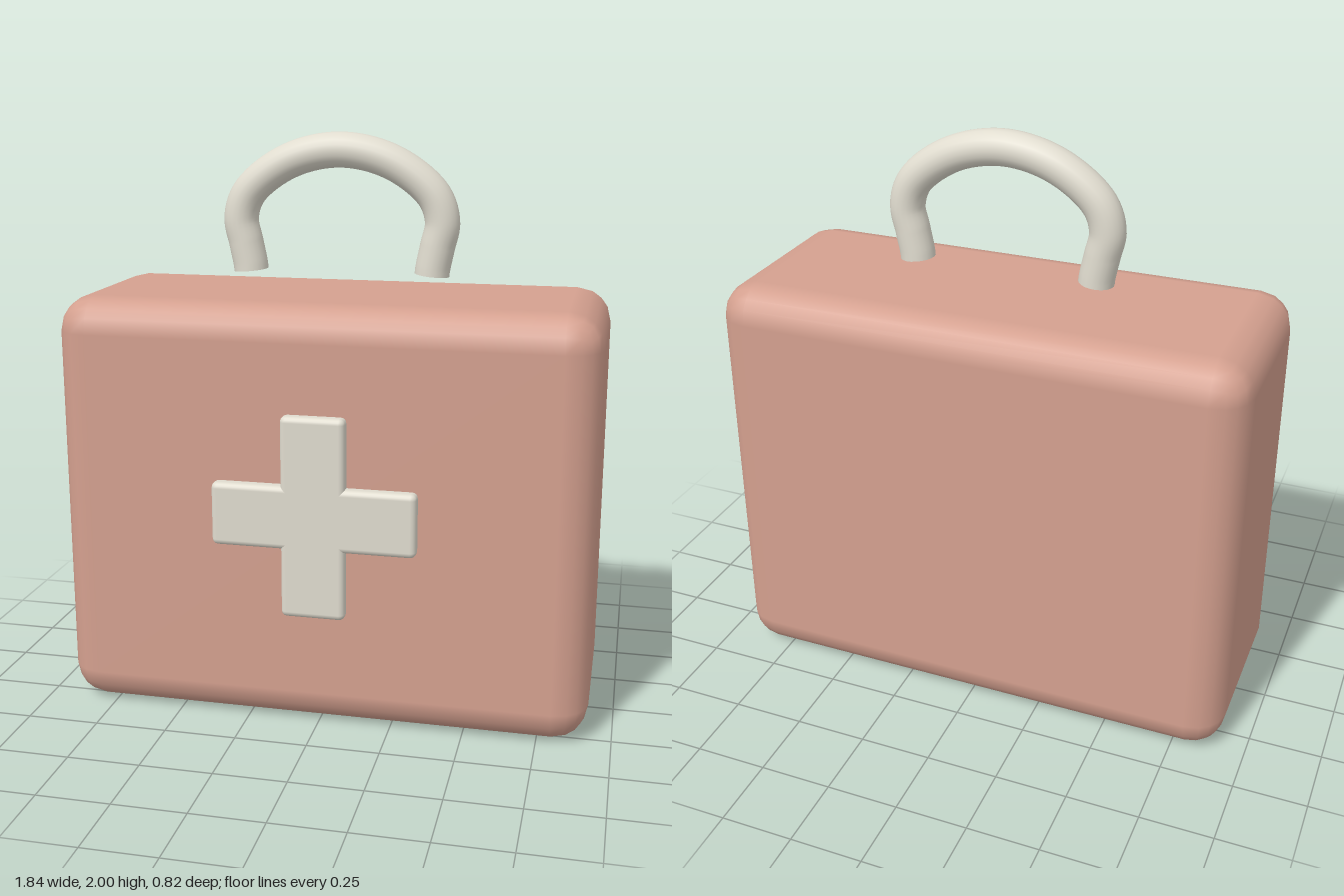
import * as THREE from 'three';
import { RoundedBoxGeometry } from 'three/addons/geometries/RoundedBoxGeometry.js';

const red = new THREE.MeshStandardMaterial({ color: 0xd4a08f });
const cream = new THREE.MeshStandardMaterial({ color: 0xe0dccf });

function roundedBox(name, size, position, segments, radius, material) {
  const mesh = new THREE.Mesh(new RoundedBoxGeometry(...size, segments, radius), material);
  mesh.name = name;
  mesh.position.set(...position);
  return mesh;
}

function createHandle() {
  const handle = new THREE.Group();
  handle.name = 'handle';

  // Mirrored centre line: feet lean outward, then a broad arch
  const half = [[0.319, 1.525], [0.321, 1.545], [0.336, 1.62], [0.352, 1.705], [0.32, 1.795], [0.18, 1.9]];
  const points = [
    ...half.map(([x, y]) => new THREE.Vector3(-x, y, 0)),
    new THREE.Vector3(0, 1.94, 0),
    ...half.slice().reverse().map(([x, y]) => new THREE.Vector3(x, y, 0)),
  ];
  const curve = new THREE.CatmullRomCurve3(points);
  const grip = new THREE.Mesh(new THREE.TubeGeometry(curve, 80, 0.06, 20, false), cream);
  grip.name = 'handleGrip';
  handle.add(grip);

  // Flat ends of the feet
  for (const side of [-1, 1]) {
    const cap = new THREE.Mesh(new THREE.CircleGeometry(0.06, 20), cream);
    cap.name = 'handleEnd';
    cap.rotation.x = Math.PI / 2;
    cap.position.set(side * 0.319, 1.525, 0);
    handle.add(cap);
  }
  handle.position.z = -0.032;
  return handle;
}

export function createModel() {
  const model = new THREE.Group();
  model.name = 'firstAidCase';

  // Case
  model.add(roundedBox('case', [1.836, 1.46, 0.76], [0, 0.73, -0.032], 2, 0.12, red));

  // Cross on the front, from two overlapping bars
  const cross = new THREE.Group();
  cross.name = 'cross';
  cross.add(
    roundedBox('crossUpright', [0.218, 0.694, 0.057], [0, 0.763, 0.379], 2, 0.02, cream),
    roundedBox('crossBar', [0.694, 0.218, 0.057], [0, 0.763, 0.379], 2, 0.02, cream),
  );
  model.add(cross);

  model.add(createHandle());
  return model;
}
